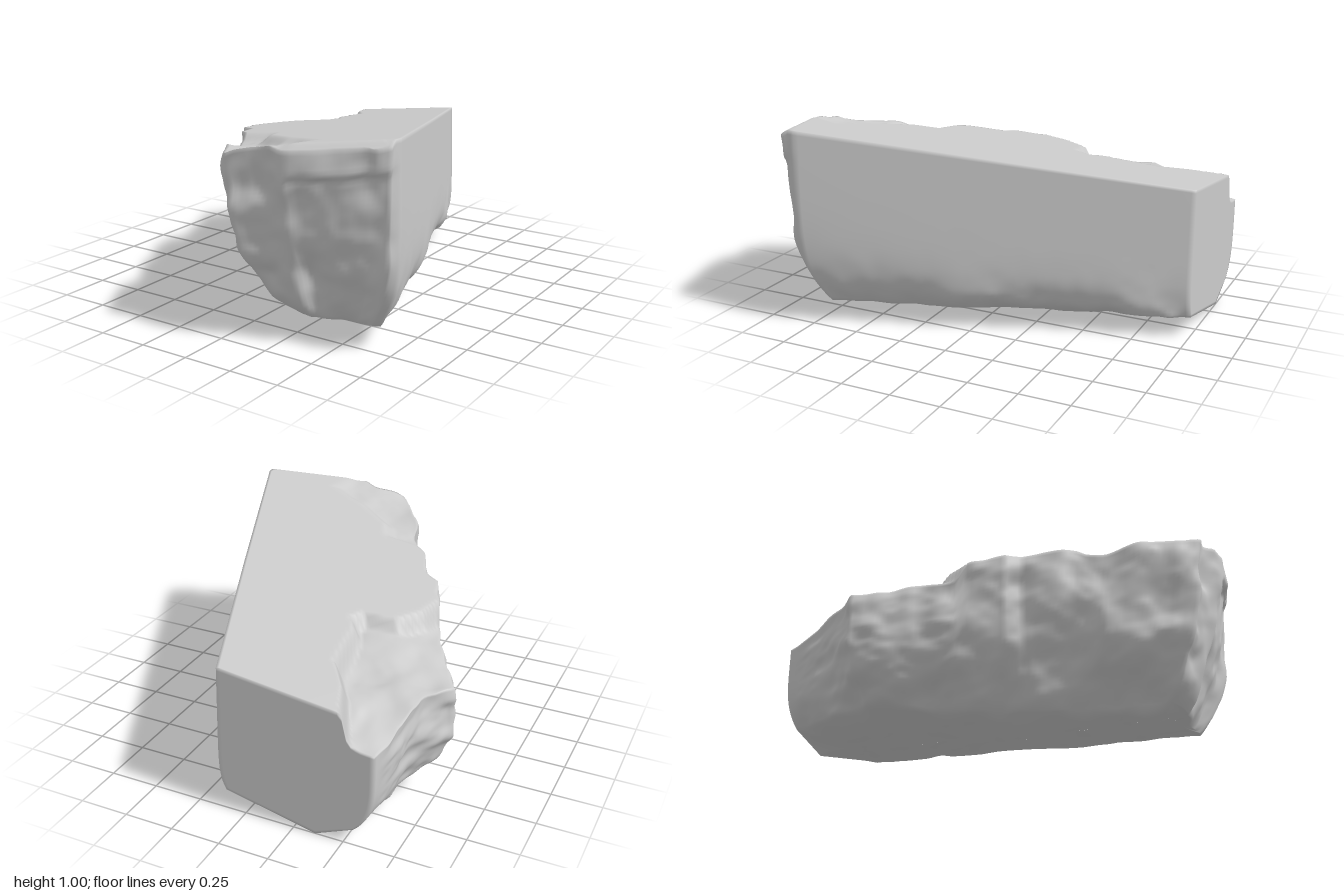
import * as THREE from 'three';

// Outline control points, clockwise from above:
// [x, z, base x, base z, roughness, undercut exponent, base edge lift]
const OUTLINE = [
  [0.14, -1, 0.1, -1, 0, 10, 0.07],
  [0.47, -0.15, 0.38, -0.12, 0, 11, 0.07],
  [0.82, 0.77, 0.67, 0.69, 0, 5, 0.01],
  [0.81, 0.84, 0.64, 0.72, 0.5, 4, 0.01],
  [0.74, 0.88, 0.57, 0.74, 1, 3, 0.01],
  [0.35, 1, 0.34, 0.76, 1, 3, 0.01],
  [0.05, 1, 0.19, 0.74, 1, 3, 0.03],
  [-0.02, 0.92, 0.14, 0.67, 1, 3, 0.04],
  [-0.18, 0.66, 0.05, 0.49, 1, 3, 0.04],
  [-0.33, 0.38, -0.09, 0.25, 1, 3, 0.04],
  [-0.39, 0.25, -0.16, 0.14, 1, 3, 0.04],
  [-0.47, 0.2, -0.22, 0.05, 1, 3, 0.04],
  [-0.54, 0.03, -0.33, -0.06, 1, 3.5, 0.04],
  [-0.65, -0.18, -0.45, -0.24, 1, 3.5, 0.04],
  [-0.77, -0.37, -0.56, -0.42, 1, 4, 0.05],
  [-0.82, -0.47, -0.6, -0.5, 1, 4, 0.05],
  [-0.76, -0.58, -0.6, -0.62, 1, 4, 0.05],
  [-0.68, -0.76, -0.57, -0.8, 1, 4, 0.05],
  [-0.645, -1, -0.55, -1, 0, 5, 0.05],
  [-0.36, -1, -0.36, -1, 0, 5, -0.033],
];
// Inner borders of the two broken areas of the top; the last points close them outside the block
const BACK_CHIP = [[-0.48, -1.1], [-0.48, -1], [-0.4, -0.82], [-0.3, -0.68], [-0.27, -0.4], [-0.22, -0.33],
  [-0.26, -0.25], [-0.42, -0.22], [-0.5, -0.1], [-0.54, 0.05], [-1.2, 0.05], [-1.2, -1.1]];
const FRONT_CHIP = [[-0.4, 0.44], [-0.05, 0.46], [0, 0.58], [0.2, 0.7], [0.43, 0.8], [0.36, 1.1], [-0.5, 1.1]];

const lerp = THREE.MathUtils.lerp;
const smooth = THREE.MathUtils.smoothstep;

// Seeded lattice noise, about -1 to 1
function hash(x, y, z) {
  let h = Math.imul(x, 374761393) ^ Math.imul(y, 668265263) ^ Math.imul(z, 1274126177);
  h = Math.imul(h ^ (h >>> 13), 1103515245);
  return ((h ^ (h >>> 16)) >>> 0) / 2147483648 - 1;
}
function noise(x, y, z) {
  const xi = Math.floor(x), yi = Math.floor(y), zi = Math.floor(z);
  const u = smooth(x - xi, 0, 1), v = smooth(y - yi, 0, 1), w = smooth(z - zi, 0, 1);
  const edge = (b, c) => lerp(hash(xi, yi + b, zi + c), hash(xi + 1, yi + b, zi + c), u);
  return lerp(lerp(edge(0, 0), edge(1, 0), v), lerp(edge(0, 1), edge(1, 1), v), w);
}
const rock = (x, y, z) => 0.6 * noise(x * 5, y * 4, z * 5)
  + 0.27 * noise(x * 10 + 7, y * 9, z * 10) + 0.07 * noise(x * 21, y * 19, z * 21 + 3);

// Distance inside a broken area from its inner border, 0 outside
function chipDistance(poly, borderCount, x, z) {
  let inside = false, best = Infinity;
  poly.forEach(([ax, az], i) => {
    const [bx, bz] = poly[(i + 1) % poly.length];
    if ((az > z) !== (bz > z) && x < ax + (bx - ax) * (z - az) / (bz - az)) inside = !inside;
    if (i >= borderCount - 1) return;
    const dx = bx - ax, dz = bz - az;
    const t = THREE.MathUtils.clamp(((x - ax) * dx + (z - az) * dz) / (dx * dx + dz * dz), 0, 1);
    best = Math.min(best, Math.hypot(x - ax - t * dx, z - az - t * dz));
  });
  return inside ? best : 0;
}

// Sloping sawn top with its broken areas and worn front edge
function topHeight(x, z) {
  const back = chipDistance(BACK_CHIP, 10, x, z);
  const front = chipDistance(FRONT_CHIP, 6, x, z);
  const n = rock(x, 0.3, z);
  return 1 + 0.13 * (x - 0.8) + 0.09 * (z - 0.8)
    - 0.04 * smooth(z + 0.355 * x, 1.08, 1.15)
    - smooth(back, 0, 0.045) * (0.08 + 0.06 * smooth(-z, 0.6, 1) + 0.05 * n)
    - smooth(front, 0, 0.08) * (0.03 + 0.035 * n);
}

// Underside level, rising towards the front
const floorHeight = (z) => 0.033 + 0.06 * smooth(z, 0.1, 0.75);

// Sawn block with a rough, rounded underside
function blockGeometry() {
  const ring = [];
  OUTLINE.forEach((p, i) => {
    const q = OUTLINE[(i + 1) % OUTLINE.length];
    const n = Math.ceil(Math.hypot(q[0] - p[0], q[1] - p[1]) / 0.022);
    for (let k = 0; k < n; k++) ring.push(p.map((v, c) => lerp(v, q[c], k / n)));
  });
  const N = ring.length;

  // Point on the side wall, f from 0 (base) to 1 (top)
  const wall = (i, f) => {
    const [px, pz, bx, bz, rough, power, lift] = ring[i];
    const a = ring[(i + N - 2) % N], b = ring[(i + 2) % N];
    const len = Math.hypot(b[0] - a[0], b[1] - a[1]);
    const inset = Math.pow(1 - f, power);
    let x = lerp(px, bx, inset), z = lerp(pz, bz, inset);
    const yBase = floorHeight(z) + lift;
    const isBack = pz < -0.999;
    const weight = isBack ? 0 : Math.max(rough, Math.pow(1 - f, 7)) * smooth(pz, -1, -0.9);
    // The front right keeps a lip under the top edge
    const lip = 0.025 * smooth(px, 0.33, 0.42) * rough * (1 - smooth(f, 0.82, 0.88));
    const d = weight * (0.065 * rock(x, f * 0.85, z) - 0.008) - lip;
    x += d * (b[1] - a[1]) / len;
    z = THREE.MathUtils.clamp(z - d * (b[0] - a[0]) / len, -1, 1);
    // The sawn right face leans in slightly
    x -= 0.02 * f * (1 - rough) * smooth(px, 0, 0.14);
    return [x, lerp(yBase, topHeight(x, z), f), z];
  };

  // Nearest point of the inner spine, where both caps close
  const A = [-0.25, -0.7], S = [0.55, 1.35];
  const spine = (x, z) => {
    const t = THREE.MathUtils.clamp(((x - A[0]) * S[0] + (z - A[1]) * S[1]) / (S[0] ** 2 + S[1] ** 2), 0, 1);
    return [A[0] + t * S[0], A[1] + t * S[1]];
  };
  const inward = (e, s) => {
    const c = spine(e[0], e[2]);
    return [lerp(c[0], e[0], s), lerp(c[1], e[2], s)];
  };

  const positions = [], index = [];
  const BASE = 18, WALL = 44, TOP = 36;
  // Underside, from the spine out
  for (let j = 0; j < BASE; j++) {
    const s = j / BASE;
    for (let i = 0; i < N; i++) {
      const e = wall(i, 0), [x, z] = inward(e, s);
      const y = floorHeight(z) + ring[i][6] * s ** 3 + 0.025 * (1 - s ** 4) * rock(x, 0, z);
      positions.push(x, y, z);
    }
  }
  // Sides
  for (let j = 0; j <= WALL; j++) for (let i = 0; i < N; i++) positions.push(...wall(i, j / WALL));
  // Top, from the edge in
  for (let j = 1; j <= TOP; j++) {
    for (let i = 0; i < N; i++) {
      const [x, z] = inward(wall(i, 1), 1 - j / TOP);
      positions.push(x, topHeight(x, z), z);
    }
  }
  for (let j = 0; j < BASE + WALL + TOP; j++) {
    for (let i = 0; i < N; i++) {
      const k = (i + 1) % N, a = j * N, b = a + N;
      index.push(a + i, b + i, a + k, b + i, b + k, a + k);
    }
  }
  const geometry = new THREE.BufferGeometry();
  geometry.setAttribute('position', new THREE.Float32BufferAttribute(positions, 3));
  geometry.setIndex(index);
  geometry.computeVertexNormals();
  return geometry;
}

export function createModel() {
  const group = new THREE.Group();
  group.name = 'stoneBlock';
  const stone = new THREE.Mesh(blockGeometry(), new THREE.MeshStandardMaterial({ color: 0xcccccc }));
  stone.name = 'stone';
  group.add(stone);
  return group;
}
